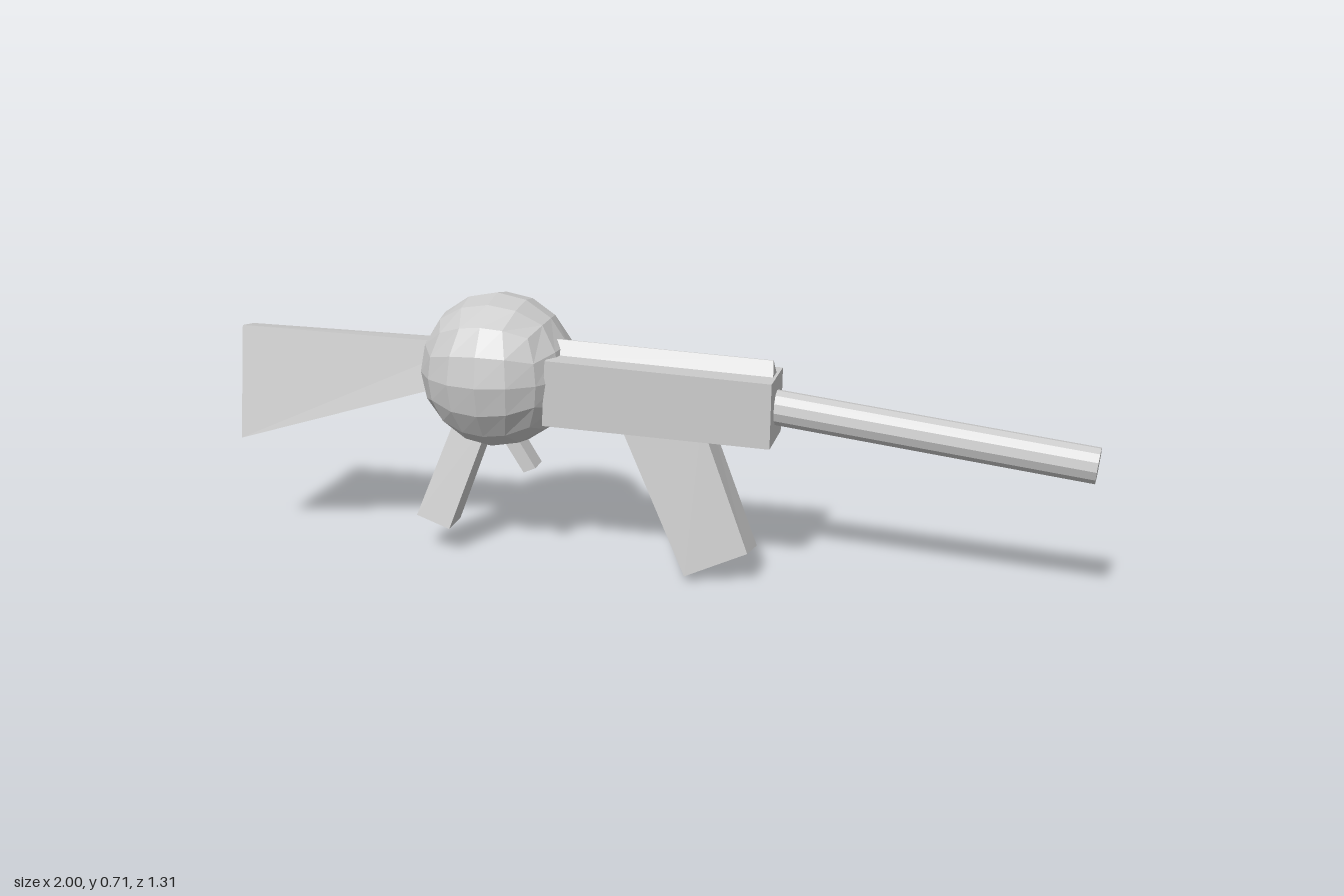
import * as THREE from 'three';

const material = new THREE.MeshStandardMaterial({ color: 0xcccccc, flatShading: true });

function add(group, name, geometry) {
  const mesh = new THREE.Mesh(geometry, material);
  mesh.name = name;
  group.add(mesh);
  return mesh;
}

// Six-sided block between two quads; corners run rear-left, front-left, front-right, rear-right.
function block(bottom, top) {
  const positions = [];
  const quad = (a, b, c, d) => positions.push(...a, ...b, ...c, ...a, ...c, ...d);
  for (let i = 0; i < 4; i++) {
    const j = (i + 1) % 4;
    quad(bottom[i], bottom[j], top[j], top[i]);
  }
  quad(...top);
  quad(...bottom.slice().reverse());
  const geometry = new THREE.BufferGeometry();
  geometry.setAttribute('position', new THREE.Float32BufferAttribute(positions, 3));
  geometry.computeVertexNormals();
  return geometry;
}

// Quad spanning x0..x1 and z0..z1, with separate heights at its rear and front ends.
const quad = (x0, x1, yRear, yFront, z0, z1) => [
  [x0, yRear, z1], [x1, yFront, z1], [x1, yFront, z0], [x0, yRear, z0],
];

// Cube grid pushed out to a ball, with equal angles between grid lines.
function quadBall(radius) {
  const geometry = new THREE.BoxGeometry(2, 2, 2, 4, 4, 4);
  const p = geometry.attributes.position;
  const v = new THREE.Vector3();
  const spread = (t) => Math.tan(t * Math.PI / 4);
  for (let i = 0; i < p.count; i++) {
    v.fromBufferAttribute(p, i);
    v.set(spread(v.x), spread(v.y), spread(v.z)).setLength(radius);
    p.setXYZ(i, v.x, v.y, v.z);
  }
  geometry.computeVertexNormals();
  return geometry;
}

export function createModel() {
  const model = new THREE.Group();
  model.name = 'rifle';

  // Everything is laid out along x, then turned to its resting heading.
  const rifle = new THREE.Group();
  rifle.name = 'rifleParts';
  rifle.rotation.y = -Math.PI / 6;
  model.add(rifle);

  // Round central body
  add(rifle, 'ballBody', quadBall(0.207)).position.set(-0.413, 0.505, -0.045);

  // Receiver and the ridge along its top
  add(rifle, 'receiver', block(
    quad(-0.26, 0.34, 0.392, 0.374, -0.092, 0.074),
    quad(-0.25, 0.342, 0.567, 0.545, -0.092, 0.074)));
  add(rifle, 'topRidge', block(
    quad(-0.25, 0.335, 0.56, 0.54, -0.043, 0.012),
    quad(-0.25, 0.33, 0.604, 0.583, -0.018, -0.014)));

  // Barrel, angled slightly off the receiver
  const start = new THREE.Vector3(0.29, 0.465, -0.019);
  const tip = new THREE.Vector3(1.147, 0.386, 0.042);
  const along = tip.clone().sub(start);
  const barrel = add(rifle, 'barrel', new THREE.CylinderGeometry(0.046, 0.046, along.length(), 12));
  barrel.position.copy(start).add(tip).multiplyScalar(0.5);
  barrel.quaternion.setFromUnitVectors(new THREE.Vector3(0, 1, 0), along.normalize());

  // Shoulder stock, rolled sideways and deepening to the rear
  add(rifle, 'stock', block(
    [[-1.129, 0.285, 0.047], [-0.48, 0.482, 0.01], [-0.48, 0.475, -0.075], [-1.123, 0.274, -0.037]],
    [[-1.137, 0.586, -0.02], [-0.48, 0.576, -0.014], [-0.48, 0.566, -0.102], [-1.144, 0.572, -0.10]]));

  // Hand grip
  add(rifle, 'grip', block(
    quad(-0.626, -0.535, 0.105, 0.072, -0.042, 0.048),
    quad(-0.52, -0.435, 0.4, 0.37, -0.11, -0.03)));

  // Trigger
  add(rifle, 'trigger', block(
    quad(-0.333, -0.3, 0.237, 0.252, -0.048, 0.01),
    quad(-0.4, -0.365, 0.34, 0.355, -0.052, 0.006)));

  // Magazine, swept forward
  add(rifle, 'magazine', block(
    [[0.124, 0.014, 0.087], [0.288, 0.087, 0.074], [0.295, 0.075, -0.024], [0.125, 0, -0.008]],
    quad(-0.07, 0.155, 0.42, 0.42, -0.06, 0.035)));

  return model;
}
